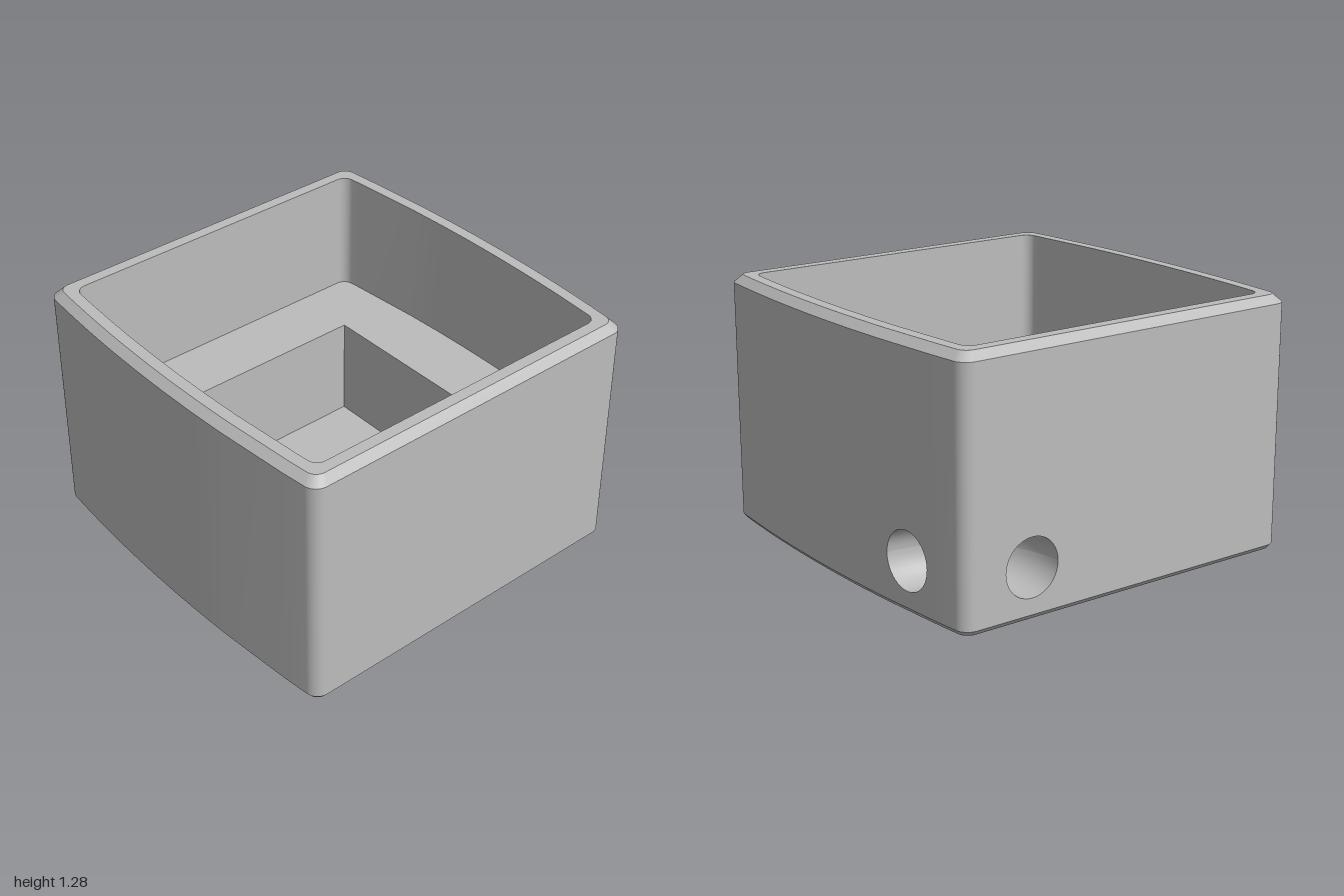
import * as THREE from 'three';

const grey = new THREE.MeshStandardMaterial({ color: 0xbcbcbc });
grey.name = 'grey';

const BOW = 9; // radius of the bowed front and back
const HOLE_R = 0.145, HOLE_Y = 0.25, BEND = 0.4;
const WALL_LOW = 0.025, WALL_HIGH = 1.24;
const FLOOR = 0.635, POCKET = 0.56, POCKET_FLOOR = 0.1;
const WALL = 0.1;

// Rounded outline with bowed front and back, as [x, z], left to right seen from outside
function outline(inset) {
  const r = Math.max(0.055, 0.07 - inset), R = BOW - inset, D = 1 - inset;
  const cx = 1 - inset - r;
  const cz = D - R + Math.sqrt((R - r) ** 2 - cx * cx);
  const end = Math.acos(cx / (R - r)); // where the corner meets the bow
  const corner = [];
  for (let i = 0; i <= 8; i++) {
    const a = (end * i) / 8;
    corner.push([cx + r * Math.cos(a), cz + r * Math.sin(a)]);
  }
  const bow = (x) => D - R + Math.sqrt(R * R - x * x);
  const xs = [0.8, 0.7, 0.6, 0.5, 0.4, 0.2, 0, -0.2, -0.4, -0.8];
  return [
    ...corner.map(([x, z]) => [x, -z]),
    ...xs.map((x) => [x, -bow(x)]),
    ...corner.map(([x, z]) => [-x, -z]).reverse(),
    [-1 + inset, -0.8], [-1 + inset, -0.4],
    ...corner.map(([x, z]) => [-x, z]),
    ...xs.map((x) => [-x, bow(x)]),
    ...corner.map(([x, z]) => [x, z]).reverse(),
  ];
}

// Closed band between two outlines at two heights
function band(a, ya, b, yb, skip = []) {
  const n = a.length, pos = [], idx = [];
  for (let i = 0; i < n; i++) pos.push(a[i][0], ya, a[i][1], b[i][0], yb, b[i][1]);
  for (let i = 0; i < n; i++) {
    if (skip.includes(i)) continue;
    const p = 2 * i, q = 2 * ((i + 1) % n);
    idx.push(p, q, q + 1, p, q + 1, p + 1);
  }
  const g = new THREE.BufferGeometry();
  g.setAttribute('position', new THREE.Float32BufferAttribute(pos, 3));
  g.setIndex(idx);
  g.computeVertexNormals();
  return g;
}

// Flat horizontal face filling an outline
function cap(points, y, up, hole) {
  const s = up ? -1 : 1;
  const vec = (list) => list.map(([x, z]) => new THREE.Vector2(x, s * z));
  const shape = new THREE.Shape(vec(points));
  if (hole) shape.holes.push(new THREE.Path(vec(hole)));
  return new THREE.ShapeGeometry(shape).rotateX((s * Math.PI) / 2).translate(0, y, 0);
}

// Wall panel from a to b with a round hole at fraction t of its length
function holePanel(a, b, t) {
  const L = Math.hypot(b[0] - a[0], b[1] - a[1]);
  const shape = new THREE.Shape();
  shape.moveTo(0, WALL_LOW).lineTo(L, WALL_LOW).lineTo(L, WALL_HIGH).lineTo(0, WALL_HIGH);
  shape.holes.push(new THREE.Path().absarc(t * L, HOLE_Y, HOLE_R, 0, 2 * Math.PI, true));
  const g = new THREE.ShapeGeometry(shape, 20);
  const p = g.attributes.position;
  for (let i = 0; i < p.count; i++) {
    const f = p.getX(i) / L;
    p.setXYZ(i, a[0] + (b[0] - a[0]) * f, p.getY(i), a[1] + (b[1] - a[1]) * f);
  }
  g.computeVertexNormals();
  return g;
}

export function createModel() {
  const group = new THREE.Group();
  const add = (name, geometry) => {
    const mesh = new THREE.Mesh(geometry, grey);
    mesh.name = name;
    group.add(mesh);
  };

  const outer = outline(0), base = outline(0.02), rim = outline(0.04), inner = outline(WALL);
  const back = outer.findIndex(([x, z]) => x === -0.4 && z < 0);
  const side = outer.findIndex(([x, z]) => x === -1 && z === -0.8);

  // Outer shell, chamfered at the rim and eased at the base
  add('underside', cap(base, 0, false));
  add('baseEdge', band(base, 0, outer, WALL_LOW));
  add('outerWall', band(outer, WALL_LOW, outer, WALL_HIGH, [back, side]));
  add('rimChamfer', band(outer, WALL_HIGH, rim, 1.28));
  add('rim', band(rim, 1.28, inner, 1.28));

  // Cavity and the square pocket in its floor
  const k = POCKET;
  const square = [[k, -k], [-k, -k], [-k, k], [k, k]];
  add('innerWall', band(inner, 1.28, inner, FLOOR));
  add('cavityFloor', cap(inner, FLOOR, true, square));
  square.forEach((a, i) => {
    const b = square[(i + 1) % 4];
    const g = new THREE.PlaneGeometry(2 * k, FLOOR - POCKET_FLOOR);
    g.rotateY((i * Math.PI) / 2);
    g.translate(-(a[0] + b[0]) / 2, (FLOOR + POCKET_FLOOR) / 2, (a[1] + b[1]) / 2);
    if (i % 2) g.translate(a[0] + b[0], 0, 0).rotateY(Math.PI);
    add('pocketWall', g);
  });
  add('pocketFloor', cap(square, POCKET_FLOOR, true));

  // Cord channel bending round the back corner, open on two walls
  const [a, b] = [outer[back], outer[back + 1]];
  const slope = (b[1] - a[1]) / (b[0] - a[0]);
  const cz = (a[1] + b[1]) / 2;
  add('backHolePanel', holePanel(a, b, 0.5));
  add('sideHolePanel', holePanel(outer[side], outer[side + 1], (cz + BEND + 0.8) / 0.4));
  const bend = new THREE.TorusGeometry(BEND, HOLE_R, 40, 24, Math.PI / 2).rotateX(Math.PI / 2);
  const p = bend.attributes.position;
  for (let i = 0; i < p.count; i++) {
    const lean = Math.max(0, 1 - p.getZ(i) / 0.3);
    p.setZ(i, p.getZ(i) + slope * (p.getX(i) - BEND) * lean);
  }
  bend.translate(-1, HOLE_Y, cz);
  bend.index.array.reverse(); // face inward
  bend.computeVertexNormals();
  add('cordChannel', bend);

  return group;
}
